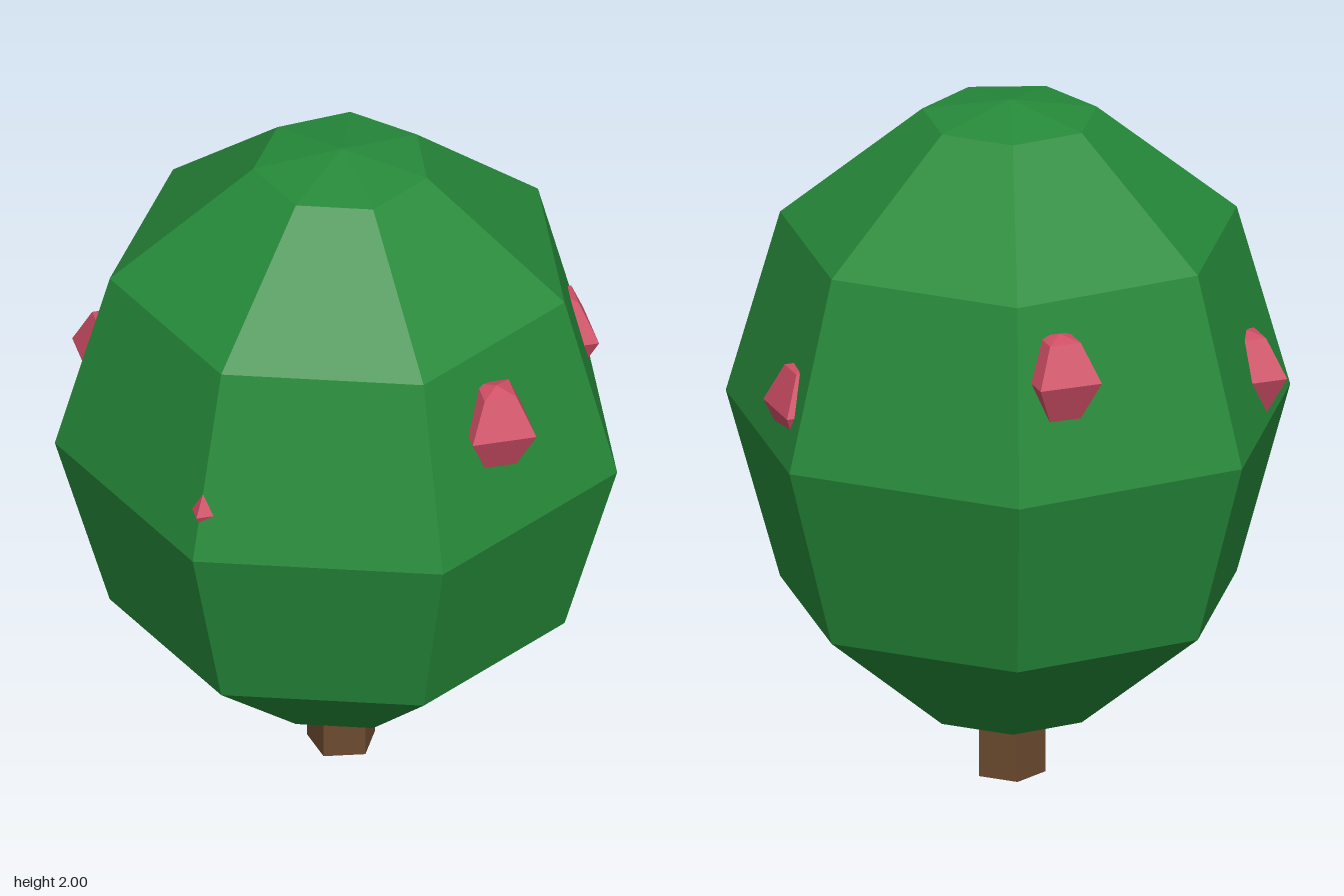
import * as THREE from 'three';

const leafGreen = new THREE.MeshStandardMaterial({ color: 0x268a3a });
leafGreen.name = 'leaf green';
const fruitRed = new THREE.MeshStandardMaterial({ color: 0xd04f66 });
fruitRed.name = 'fruit red';
const barkBrown = new THREE.MeshStandardMaterial({ color: 0x6b4a2f });
barkBrown.name = 'bark brown';

const AXIS_Z = -0.04; // the tree's vertical axis

// Split every face so each facet has its own flat normal
function faceted(geometry) {
  const flat = geometry.toNonIndexed();
  flat.computeVertexNormals();
  return flat;
}

// Low-poly ellipsoid: rings at equal latitude steps, given in degrees
function facetedBall(radius, halfHeight, sides, latitudes) {
  const profile = [
    new THREE.Vector2(0, -halfHeight),
    ...latitudes.map((deg) => {
      const a = THREE.MathUtils.degToRad(deg);
      return new THREE.Vector2(radius * Math.cos(a), halfHeight * Math.sin(a));
    }),
    new THREE.Vector2(0, halfHeight),
  ];
  return faceted(new THREE.LatheGeometry(profile, sides));
}

function addPart(parent, name, geometry, material, x, y, z) {
  const mesh = new THREE.Mesh(geometry, material);
  mesh.name = name;
  mesh.position.set(x, y, z);
  parent.add(mesh);
}

export function createModel() {
  const tree = new THREE.Group();
  tree.name = 'fruitTree';

  // Five-sided trunk, running a little way into the crown
  const trunk = faceted(new THREE.CylinderGeometry(0.1, 0.1, 0.3, 5));
  addPart(tree, 'trunk', trunk, barkBrown, 0, 0.15, AXIS_Z);

  // Seven-sided egg-shaped crown
  const crown = facetedBall(0.81, 0.924, 7, [-72, -36, 0, 36, 72]);
  addPart(tree, 'crown', crown, leafGreen, 0, 1.076, AXIS_Z);

  // Five four-sided fruits around the crown, half sunk into it
  const fruits = new THREE.Group();
  fruits.name = 'fruits';
  const fruit = facetedBall(0.13, 0.13, 4, [-60, 0, 60]);
  for (let i = 0; i < 5; i++) {
    const a = (i / 5) * Math.PI * 2;
    const y = i % 2 ? 1.41 : 1.21;
    addPart(fruits, `fruit${i + 1}`, fruit, fruitRed, 0.66 * Math.sin(a), y, AXIS_Z + 0.66 * Math.cos(a));
  }
  tree.add(fruits);

  return tree;
}
